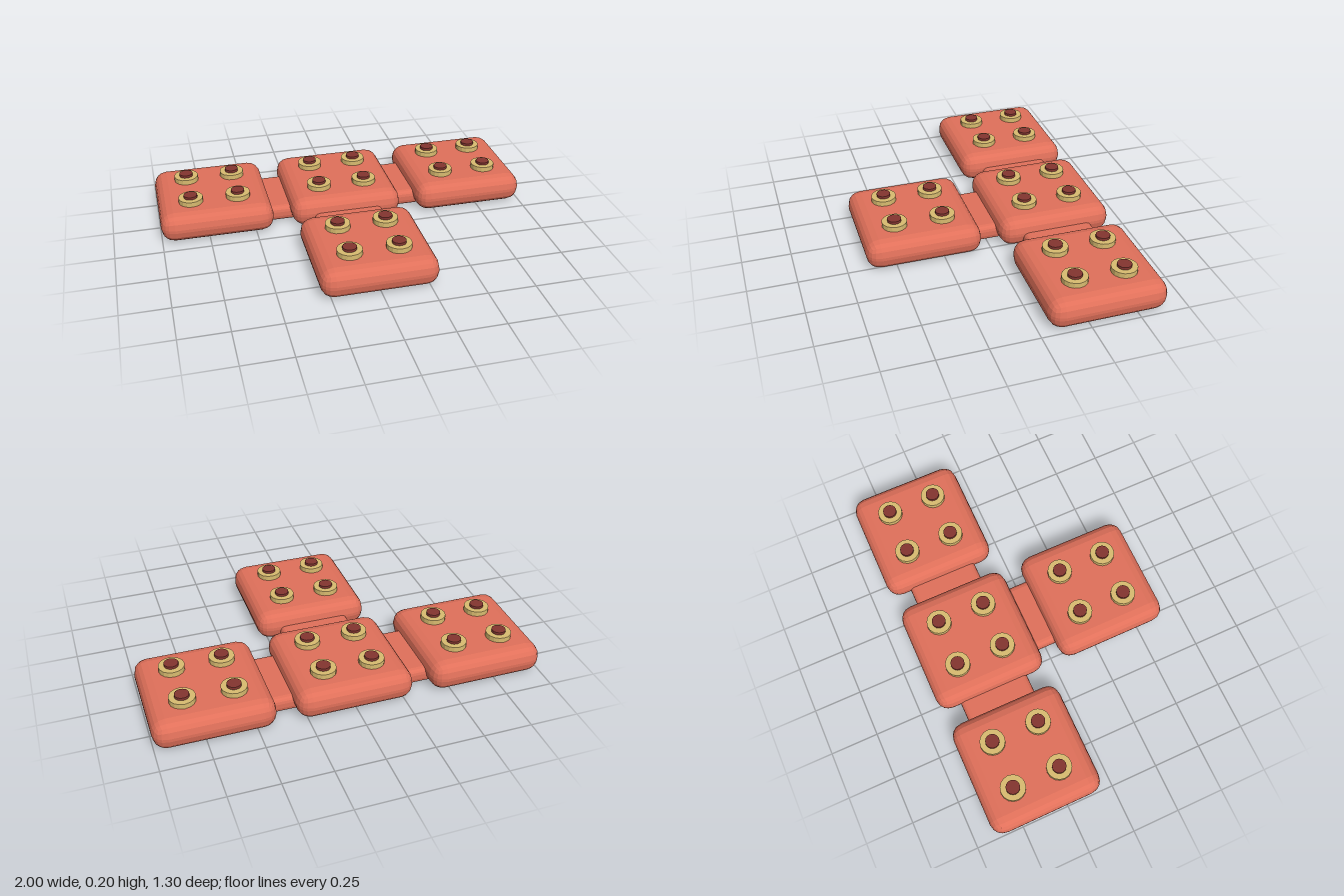
import * as THREE from 'three';
import { RoundedBoxGeometry } from 'three/addons/geometries/RoundedBoxGeometry.js';

export function createModel() {
  const model = new THREE.Group();
  const coral = new THREE.MeshStandardMaterial({ color: 0xe0705a, flatShading: true });
  const brass = new THREE.MeshStandardMaterial({ color: 0xd9bc70, flatShading: true });
  const maroon = new THREE.MeshStandardMaterial({ color: 0x83352f, flatShading: true });

  const padHeight = 0.156;
  const padGeometry = new RoundedBoxGeometry(0.6, padHeight, 0.6, 2, 0.07);
  const bridgeGeometry = new RoundedBoxGeometry(0.3, 0.084, 0.375, 2, 0.03);
  const collarGeometry = new THREE.CylinderGeometry(0.065, 0.065, 0.028, 16);
  const pinGeometry = new THREE.CylinderGeometry(0.036, 0.036, 0.05, 16);

  function add(parent, name, geometry, material, x, y, z) {
    const mesh = new THREE.Mesh(geometry, material);
    mesh.name = name;
    mesh.position.set(x, y, z);
    parent.add(mesh);
    return mesh;
  }

  // Cushioned pad with four studs on top
  function addPad(name, x, z) {
    const pad = new THREE.Group();
    pad.name = name;
    pad.position.set(x, 0, z);
    add(pad, 'padBody', padGeometry, coral, 0, padHeight / 2, 0);
    for (const sx of [-1, 1]) {
      for (const sz of [-1, 1]) {
        add(pad, 'studCollar', collarGeometry, brass, sx * 0.126, 0.169, sz * 0.126);
        add(pad, 'studPin', pinGeometry, maroon, sx * 0.126, 0.172, sz * 0.126);
      }
    }
    model.add(pad);
  }

  addPad('leftPad', 0.7, -0.35);
  addPad('middlePad', 0, -0.35);
  addPad('rightPad', -0.7, -0.35);
  addPad('frontPad', 0, 0.35);

  // Low bridges joining neighbouring pads
  add(model, 'leftBridge', bridgeGeometry, coral, 0.35, 0.044, -0.35);
  add(model, 'rightBridge', bridgeGeometry, coral, -0.35, 0.044, -0.35);
  add(model, 'frontBridge', bridgeGeometry, coral, 0, 0.044, 0).rotation.y = Math.PI / 2;

  return model;
}
